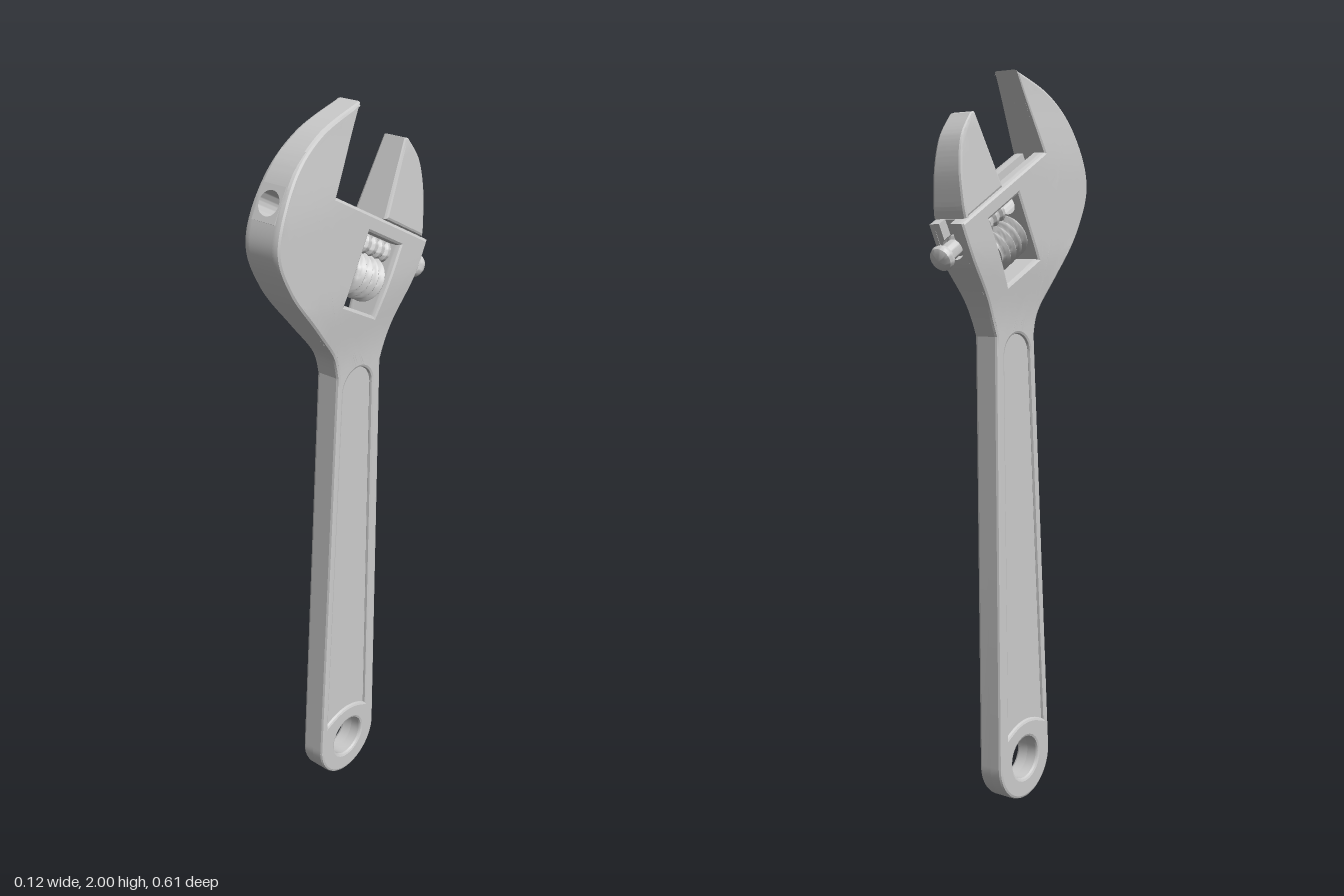
import * as THREE from 'three';
import { toCreasedNormals } from 'three/addons/utils/BufferGeometryUtils.js';

const mat = new THREE.MeshStandardMaterial({ color: 0xcccccc });
const TILT = THREE.MathUtils.degToRad(28.5); // slope of the jaw slide
const CORNER = [0.095, 1.795];               // (z, y) where fixed jaw meets slide
const C = Math.cos(TILT), S = Math.sin(TILT);
const CORE = 0.036, HANDLE = 0.037, BEVEL = 0.008, AXIS = -0.07;
const smooth = THREE.MathUtils.smoothstep;
const pts = (list) => list.map(([a, b]) => new THREE.Vector2(a, b));

// slide coordinates: u runs along the slide, v away from it
const U = (p) => (p.x - CORNER[0]) * C + (p.y - CORNER[1]) * S;
const V = (p) => -(p.x - CORNER[0]) * S + (p.y - CORNER[1]) * C;
const fromUV = (u, v) => [CORNER[0] + u * C - v * S, CORNER[1] + u * S + v * C];

function mesh(name, geo) {
  const m = new THREE.Mesh(geo, mat);
  m.name = name;
  return m;
}

// profile in the (z, y) plane, thickened symmetrically along x
function slab(shape, half, bevel = 0) {
  const depth = 2 * (half - bevel);
  const geo = new THREE.ExtrudeGeometry(shape, {
    depth, steps: 1, curveSegments: 12, bevelEnabled: bevel > 0,
    bevelSize: bevel, bevelThickness: bevel, bevelOffset: -bevel, bevelSegments: 2,
  });
  return geo.translate(0, 0, -depth / 2).rotateY(-Math.PI / 2);
}

// halve long edges above minY, then move vertices by a rule
function reshape(geo, minY, rule) {
  const src = (geo.index ? geo.toNonIndexed() : geo).attributes.position;
  const out = [];
  const cut = (t) => {
    let best = -1, len = 0.05;
    for (let i = 0; i < 3; i++) {
      const a = t[i], b = t[(i + 1) % 3], d = a.distanceTo(b);
      if (Math.max(a.y, b.y) > minY && d > len) { best = i; len = d; }
    }
    if (best < 0) { t.forEach((p) => out.push(rule(p), p.y, p.z)); return; }
    const a = t[best], b = t[(best + 1) % 3], c = t[(best + 2) % 3];
    const m = a.clone().add(b).multiplyScalar(0.5);
    cut([a, m, c]);
    cut([m, b, c]);
  };
  for (let i = 0; i < src.count; i += 3) {
    cut([0, 1, 2].map((k) => new THREE.Vector3().fromBufferAttribute(src, i + k)));
  }
  const res = new THREE.BufferGeometry();
  res.setAttribute('position', new THREE.Float32BufferAttribute(out, 3));
  return toCreasedNormals(res, 0.3);
}

// keep the side of a polygon where every test is positive
function clip(poly, ...tests) {
  return tests.reduce((list, f) => {
    const kept = [];
    list.forEach((p, i) => {
      const q = list[(i + 1) % list.length], a = f(p), b = f(q);
      if (a >= 0) kept.push(p);
      if ((a > 0 && b < 0) || (a < 0 && b > 0)) kept.push(p.clone().lerp(q, a / (a - b)));
    });
    return kept;
  }, poly);
}

// turned part along the slide; profile is [radius, u]
function turned(name, profile, v) {
  const geo = new THREE.LatheGeometry(pts(profile), 32).rotateX(Math.PI / 2);
  const m = mesh(name, toCreasedNormals(geo, 0.6));
  m.position.y = v;
  return m;
}

function bodyOutline() {
  const s = new THREE.Shape();
  s.moveTo(-0.01, 2);
  s.splineThru(pts([[0.14, 1.95], [0.245, 1.862], [0.307, 1.72], [0.265, 1.595],
    [0.165, 1.465], [0.095, 1.375], [0.075, 1.31]]));
  s.lineTo(0.153, 0.13);
  s.absarc(0.037, 0.117, 0.117, 0, -Math.PI, true);
  s.lineTo(-0.095, 1.31);
  s.splineThru(pts([[-0.14, 1.405], [-0.217, 1.51], fromUV(-0.41, 0)]));
  s.lineTo(...CORNER);
  return s.getPoints(12);
}

function panelOutline() {
  const s = new THREE.Shape();
  s.moveTo(0.125, 0.207);
  s.lineTo(0.0545, 1.257);
  s.absarc(-0.0025, 1.257, 0.057, 0, Math.PI, false);
  s.lineTo(-0.042, 0.198);
  s.quadraticCurveTo(0.037, 0.25, 0.125, 0.207);
  return s.getPoints(12);
}

export function createModel() {
  const wrench = new THREE.Group();
  wrench.name = 'adjustableWrench';
  const outline = bodyOutline(), panel = panelOutline();

  // two mirrored body halves, hollow in the head for the slide channel
  const thick = (y) => HANDLE + 0.018 * smooth(y, 1.33, 1.55) * (1 - smooth(y, 1.74, 2.02));
  const inner = (y) => CORE * smooth(y, 1.42, 1.46) * (1 - smooth(y, 1.86, 1.92));
  const body = new THREE.Shape(outline);
  const hang = new THREE.Path().absarc(0.037, 0.117, 0.06, 0, Math.PI * 2, false);
  const window = new THREE.Path(pts([[-0.3, -0.235], [-0.16, -0.235], [-0.16, -0.045], [-0.3, -0.045]]
    .map(([u, v]) => fromUV(u, v))));
  body.holes.push(hang, window, new THREE.Path(panel));
  for (const side of [1, -1]) {
    const rule = (p) => side * Math.max(side * p.x * thick(p.y) / HANDLE, inner(p.y));
    wrench.add(mesh(side > 0 ? 'leftBodyHalf' : 'rightBodyHalf',
      reshape(slab(body, HANDLE, BEVEL), 1.3, rule)));
  }

  // sunken handle panel
  wrench.add(mesh('handlePanel', slab(new THREE.Shape(panel), 0.028)));

  // solid middle of the head around channel and window
  const below = (p) => -0.115 - V(p), aboveNeck = (p) => p.y - 1.42;
  const cores = [
    clip(outline, below, aboveNeck, (p) => U(p) + 0.16),
    clip(outline, below, aboveNeck, (p) => -0.3 - U(p)),
    clip(outline, (p) => -0.235 - V(p), aboveNeck, (p) => U(p) + 0.3, (p) => -0.16 - U(p)),
    clip(outline, (p) => V(p) + 0.025, U, (p) => 1.92 - p.y),
  ];
  cores.forEach((c) => wrench.add(mesh('headCore', toCreasedNormals(slab(new THREE.Shape(c), CORE), 0.3))));

  // everything aligned with the slide
  const slide = new THREE.Group();
  slide.name = 'slideAssembly';
  slide.position.set(0, CORNER[1], CORNER[0]);
  slide.rotation.x = -TILT;
  wrench.add(slide);
  const along = (name, shape, from, to) => {
    const geo = new THREE.ExtrudeGeometry(shape, { depth: to - from, bevelEnabled: false, curveSegments: 28 });
    slide.add(mesh(name, toCreasedNormals(geo.translate(0, 0, from), 0.5)));
  };

  // round bore through the fixed jaw
  const bore = new THREE.Shape(pts([[-CORE, -0.115], [CORE, -0.115], [CORE, -0.025], [-CORE, -0.025]]));
  bore.holes.push(new THREE.Path().absarc(0, AXIS, 0.031, 0, Math.PI * 2, false));
  along('jawBore', bore, 0, 0.168);

  // keyhole channel on both sides of the window
  const a = Math.acos(0.018 / 0.031);
  const key = new THREE.Shape(pts([[0.018, 0], [CORE, 0], [CORE, -0.115], [-CORE, -0.115], [-CORE, 0], [-0.018, 0]]));
  key.absarc(0, AXIS, 0.031, Math.PI - a, Math.PI * 2 + a, false);
  along('slideChannel', key, -0.16, 0);
  along('slideChannel', key, -0.41, -0.3);
  for (const side of [1, -1]) {
    const lip = mesh('channelLip', new THREE.BoxGeometry(0.018, 0.045, 0.14));
    lip.position.set(side * 0.027, -0.0225, -0.23);
    slide.add(lip);
  }

  // movable jaw, thinning toward its tip
  const jaw = new THREE.Shape();
  jaw.moveTo(-0.385, 0.001);
  jaw.lineTo(-0.209, 0.001);
  jaw.lineTo(-0.206, 0.208);
  jaw.lineTo(-0.22, 0.211);
  jaw.splineThru(pts([[-0.284, 0.179], [-0.334, 0.119], [-0.372, 0.04], [-0.385, 0.001]]));
  slide.add(mesh('movableJaw', reshape(slab(jaw, 0.054, BEVEL), -1,
    (p) => p.x * (1 - 0.33 * Math.max(p.y, 0) / 0.21))));
  const web = mesh('jawWeb', new THREE.BoxGeometry(0.03, 0.07, 0.19));
  web.position.set(0, -0.035, -0.29);
  slide.add(web);

  // toothed rack with a rounded end knob
  const rack = [[0, -0.478], [0.02, -0.476], [0.031, -0.468], [0.034, -0.458], [0.031, -0.448], [0.023, -0.444], [0.023, -0.405]];
  for (let i = 0; i < 7; i++) {
    const u = -0.4 + i * 0.03;
    rack.push([0.022, u], [0.029, u + 0.007], [0.029, u + 0.017], [0.022, u + 0.024]);
  }
  rack.push([0, -0.196]);
  slide.add(turned('rack', rack, AXIS));

  // ridged adjusting screw on its axle
  const screw = [[0, -0.29], [0.045, -0.29]];
  for (let i = 0; i <= 40; i++) {
    screw.push([0.053 - 0.008 * Math.cos(i / 40 * Math.PI * 8), -0.286 + i * 0.0028]);
  }
  screw.push([0.045, -0.17], [0, -0.17]);
  slide.add(turned('adjustingScrew', screw, -0.15));
  slide.add(turned('screwAxle', [[0, -0.31], [0.014, -0.31], [0.014, -0.15], [0, -0.15]], -0.15));

  return wrench;
}
